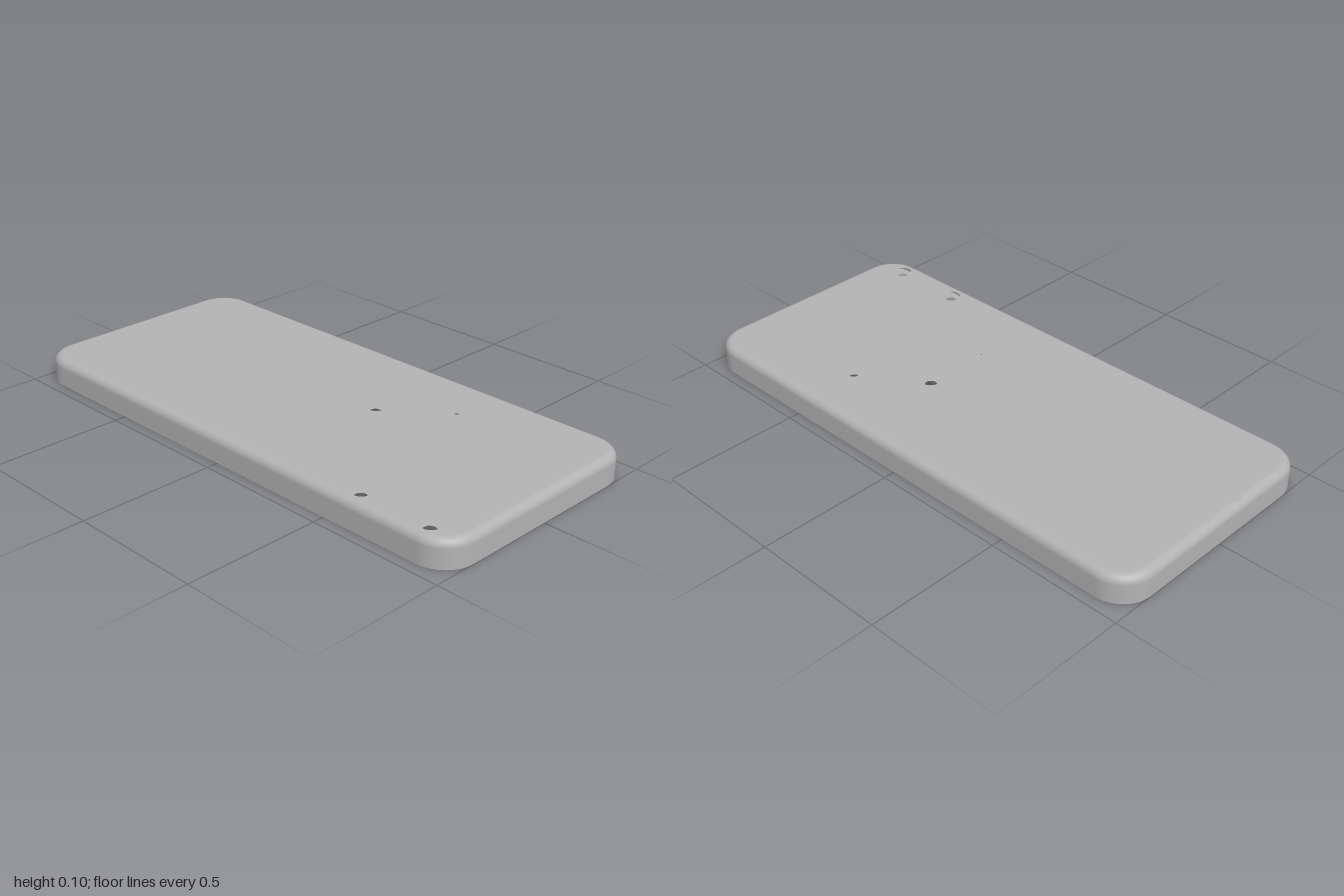
import * as THREE from 'three';
import { toCreasedNormals } from 'three/addons/utils/BufferGeometryUtils.js';

const HALF_X = 1, HALF_Z = 0.457, CORNER = 0.12, HEIGHT = 0.1;
const FILLET = 0.03;
// heights of the layers in the top plate
const POCKET_FLOOR = 0.085, RECESS_ROOF = 0.081, CEILING = 0.077;

// rounded rectangle outline in x and z
function outline(cx, cz, hx, hz, r, segs = 12) {
  const pts = [];
  const corners = [[1, 1], [-1, 1], [-1, -1], [1, -1]];
  corners.forEach(([sx, sz], c) => {
    for (let i = 0; i <= segs; i++) {
      const a = (c + i / segs) * Math.PI / 2;
      pts.push(new THREE.Vector2(
        cx + sx * (hx - r) + r * Math.cos(a),
        cz + sz * (hz - r) + r * Math.sin(a)));
    }
  });
  return pts;
}

const caseOutline = inset =>
  outline(0, 0, HALF_X - inset, HALF_Z - inset, CORNER - inset);

const disc = (x, z, r) => outline(x, z, r, r, r, 9);

// smooth band that follows the case outline through [inset, y] steps
function band(steps) {
  const pos = [], index = [];
  let n = 0;
  steps.forEach(([inset, y]) => {
    const ring = caseOutline(inset);
    n = ring.length;
    ring.forEach(p => pos.push(p.x, y, p.y));
  });
  for (let k = 0; k < steps.length - 1; k++) {
    for (let i = 0; i < n; i++) {
      const j = (i + 1) % n;
      const a = k * n + i, b = k * n + j, c = a + n, d = b + n;
      index.push(a, c, b, b, c, d);
    }
  }
  const g = new THREE.BufferGeometry();
  g.setAttribute('position', new THREE.Float32BufferAttribute(pos, 3));
  g.setIndex(index);
  g.computeVertexNormals();
  return g;
}

// flat slab between two heights, cut by holes
function slab(edge, holes, y0, y1) {
  const flip = pts => pts.map(p => new THREE.Vector2(p.x, -p.y));
  const shape = new THREE.Shape(flip(edge));
  shape.holes = holes.map(h => new THREE.Path(flip(h)));
  const g = new THREE.ExtrudeGeometry(shape, { depth: y1 - y0, bevelEnabled: false });
  g.rotateX(-Math.PI / 2);
  g.translate(0, y0, 0);
  return toCreasedNormals(g, 0.6);
}

export function createModel() {
  const model = new THREE.Group();
  model.name = 'deviceCover';
  const grey = new THREE.MeshStandardMaterial({ color: 0xb2b2b2 });
  grey.name = 'grey plastic';
  const add = (name, geometry) => {
    const mesh = new THREE.Mesh(geometry, grey);
    mesh.name = name;
    model.add(mesh);
  };

  // outer wall with rounded upper edge
  const outer = [[0, 0], [0, 0.035], [0, HEIGHT - FILLET]];
  for (let i = 1; i <= 8; i++) {
    const a = i / 8 * Math.PI / 2;
    outer.push([FILLET * (1 - Math.cos(a)), HEIGHT - FILLET + FILLET * Math.sin(a)]);
  }
  add('outerWall', band(outer));

  // stepped rim and inner wall
  const inner = [[0.03, CEILING], [0.03, 0.02], [0.015, 0.02], [0.015, 0], [0, 0]];
  for (let i = 0; i < inner.length - 1; i++) {
    add(['innerWall', 'rimLedge', 'rimLip', 'bottomEdge'][i], band([inner[i], inner[i + 1]]));
  }

  const screws = [[-0.945, -0.035], [-0.945, 0.12], [-0.945, 0.335],
    [0.21, -0.085], [0.59, 0.385], [0.87, 0.385]];
  const screwHoles = screws.map(([x, z]) => disc(x, z, 0.022));
  const smallHoles = [disc(0.435, -0.25, 0.019), disc(0.21, 0.17, 0.013)];

  // row of engraved scale marks, every fifth one longer
  const marks = [];
  for (let i = 0; i <= 20; i++) {
    const long = i % 5 === 0;
    marks.push(outline(-0.857 + i * 0.0386, long ? -0.242 : -0.235,
      0.006, long ? 0.017 : 0.008, 0.005, 3));
  }

  // top plate: pocketed skin, middle sheet, recessed underside
  const edge = caseOutline(FILLET);
  add('topSkin', slab(edge, [
    ...screws.map(([x, z]) => disc(x, z, 0.036)),
    disc(0.63, -0.25, 0.074), ...smallHoles, ...marks,
  ], POCKET_FLOOR, HEIGHT));
  add('middleSheet', slab(edge, [...screwHoles, ...smallHoles], RECESS_ROOF, POCKET_FLOOR));
  add('recessedUnderside', slab(edge, [
    ...screwHoles,
    disc(0.435, -0.25, 0.06), disc(0.21, 0.17, 0.07),
    outline(-0.38, 0.137, 0.5, 0.248, 0.004, 2),
    outline(-0.825, -0.205, 0.055, 0.09, 0.004, 2),
  ], CEILING, RECESS_ROOF));

  // hollow screw posts
  screws.forEach(([x, z]) => {
    add('screwPost', slab(disc(x, z, 0.032), [disc(x, z, 0.022)], 0.038, RECESS_ROOF));
  });

  // short stud below the round pocket
  add('pocketStud', slab(disc(0.63, -0.25, 0.025), [disc(0.63, -0.25, 0.012)], 0.05, CEILING));

  // locating pins along both long sides
  const pins = [[0.4, 0.385], [0.67, 0.385], [0.63, 0.385],
    [0.22, -0.385], [0.06, -0.385], [-0.43, -0.385], [-0.75, -0.385]];
  pins.forEach(([x, z]) => {
    add('locatingPin', slab(disc(x, z, 0.014), [], 0.04, CEILING));
  });

  return model;
}
